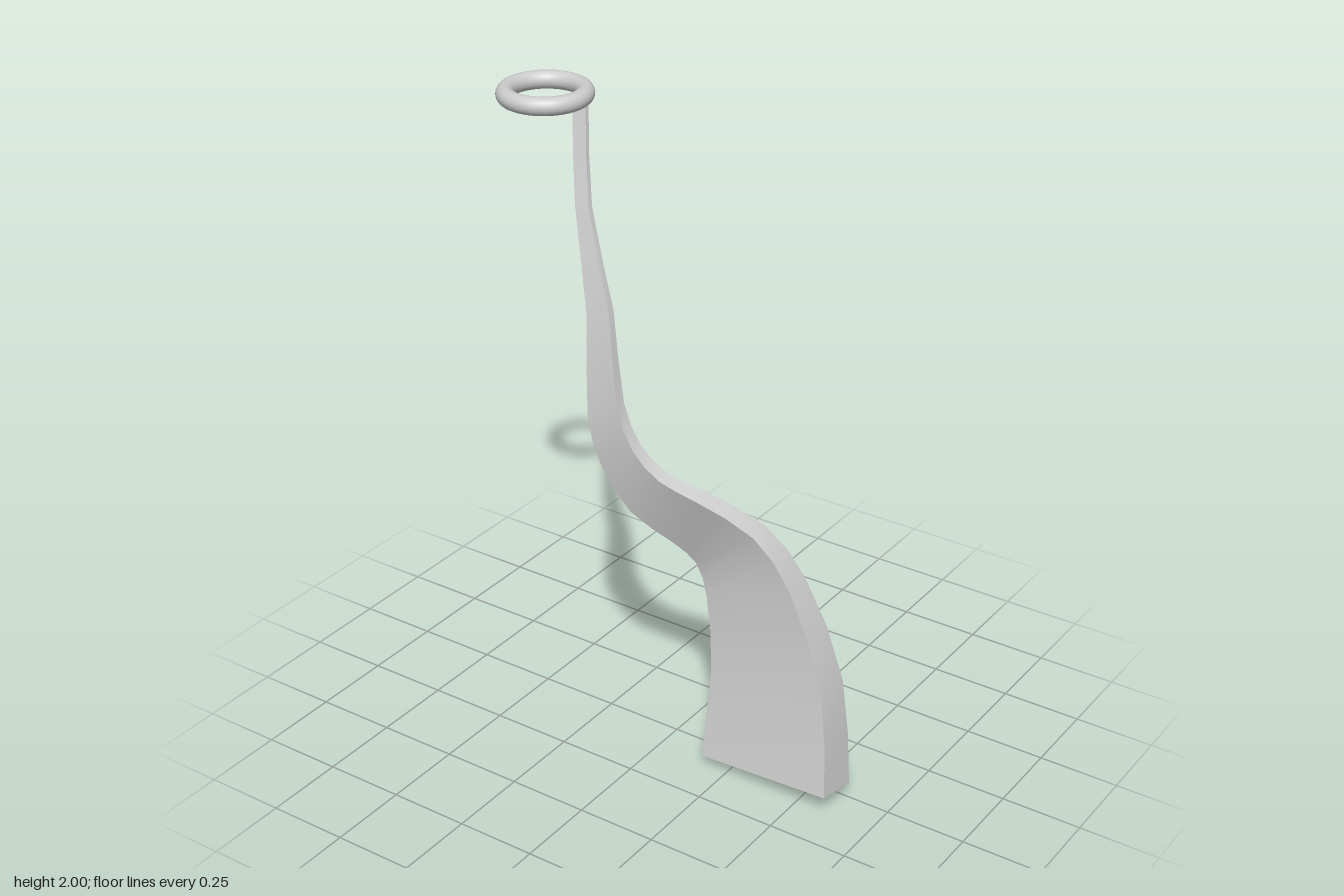
import * as THREE from 'three';

// Stations along the strap, bottom to top:
// left edge x, y, front z, back z | right edge x, y, front z, back z | rise of the back corners
const stations = [
  [0.165, 0.035, 0.11, -0.028, 0.605, 0.067, 0.125, -0.02, -0.033],
  [0.162, 0.31, 0.057, -0.065, 0.545, 0.36, 0.057, -0.065, -0.008],
  [0.13, 0.55, 0.036, -0.067, 0.41, 0.66, 0.03, -0.06, 0],
  [0.095, 0.65, 0.037, -0.045, 0.30, 0.81, 0.052, -0.018, 0.006],
  [0.04, 0.72, 0.075, -0.002, 0.14, 0.91, 0.115, 0.062, 0.01],
  [-0.07, 0.82, 0.138, 0.068, 0.04, 0.96, 0.15, 0.107, 0.008],
  [-0.16, 0.97, 0.163, 0.115, -0.04, 1.04, 0.165, 0.125, 0.004],
  [-0.20, 1.11, 0.163, 0.128, -0.10, 1.16, 0.157, 0.122, 0],
  [-0.23, 1.40, 0.118, 0.092, -0.16, 1.42, 0.108, 0.084, 0],
  [-0.32, 1.69, 0.042, 0.026, -0.275, 1.69, 0.038, 0.022, 0],
  [-0.385, 1.965, -0.042, -0.056, -0.34, 1.965, -0.044, -0.058, 0],
];
const STEPS = 20;

// Smooth line through one corner of every station
function edge(pick) {
  const pts = stations.map((s) => new THREE.Vector3(...pick(s)));
  return new THREE.CatmullRomCurve3(pts).getPoints(STEPS);
}

// Twisting strap: four faces, each smooth along its length, with sharp edges
function strapGeometry() {
  const lf = edge((s) => [s[0], s[1], s[2]]);
  const lb = edge((s) => [s[0], s[1] + s[8], s[3]]);
  const rf = edge((s) => [s[4], s[5], s[6]]);
  const rb = edge((s) => [s[4], s[5] + s[8], s[7]]);
  const pos = [];
  const idx = [];
  const add = (p) => pos.push(p.x, p.y, p.z);

  for (const [a, b] of [[lf, rf], [rf, rb], [rb, lb], [lb, lf]]) {
    const base = pos.length / 3;
    for (let i = 0; i <= STEPS; i++) {
      add(a[i]);
      add(b[i]);
      if (i === STEPS) break;
      const k = base + i * 2;
      idx.push(k, k + 1, k + 3, k, k + 3, k + 2);
    }
  }

  // End caps
  const top = STEPS;
  for (const cap of [[lf[0], lb[0], rb[0], rf[0]], [lf[top], rf[top], rb[top], lb[top]]]) {
    const k = pos.length / 3;
    cap.forEach(add);
    idx.push(k, k + 1, k + 2, k, k + 2, k + 3);
  }

  const geo = new THREE.BufferGeometry();
  geo.setAttribute('position', new THREE.Float32BufferAttribute(pos, 3));
  geo.setIndex(idx);
  geo.computeVertexNormals();
  return geo;
}

export function createModel() {
  const group = new THREE.Group();
  group.name = 'ringedStrap';
  const material = new THREE.MeshStandardMaterial({ color: 0xcccccc });

  const strap = new THREE.Mesh(strapGeometry(), material);
  strap.name = 'strap';
  group.add(strap);

  // Flat ring at the upper end
  const ring = new THREE.Mesh(new THREE.TorusGeometry(0.114, 0.027, 20, 56), material);
  ring.name = 'ring';
  ring.rotation.x = Math.PI / 2;
  ring.position.set(-0.468, 1.973, -0.027);
  group.add(ring);

  return group;
}
